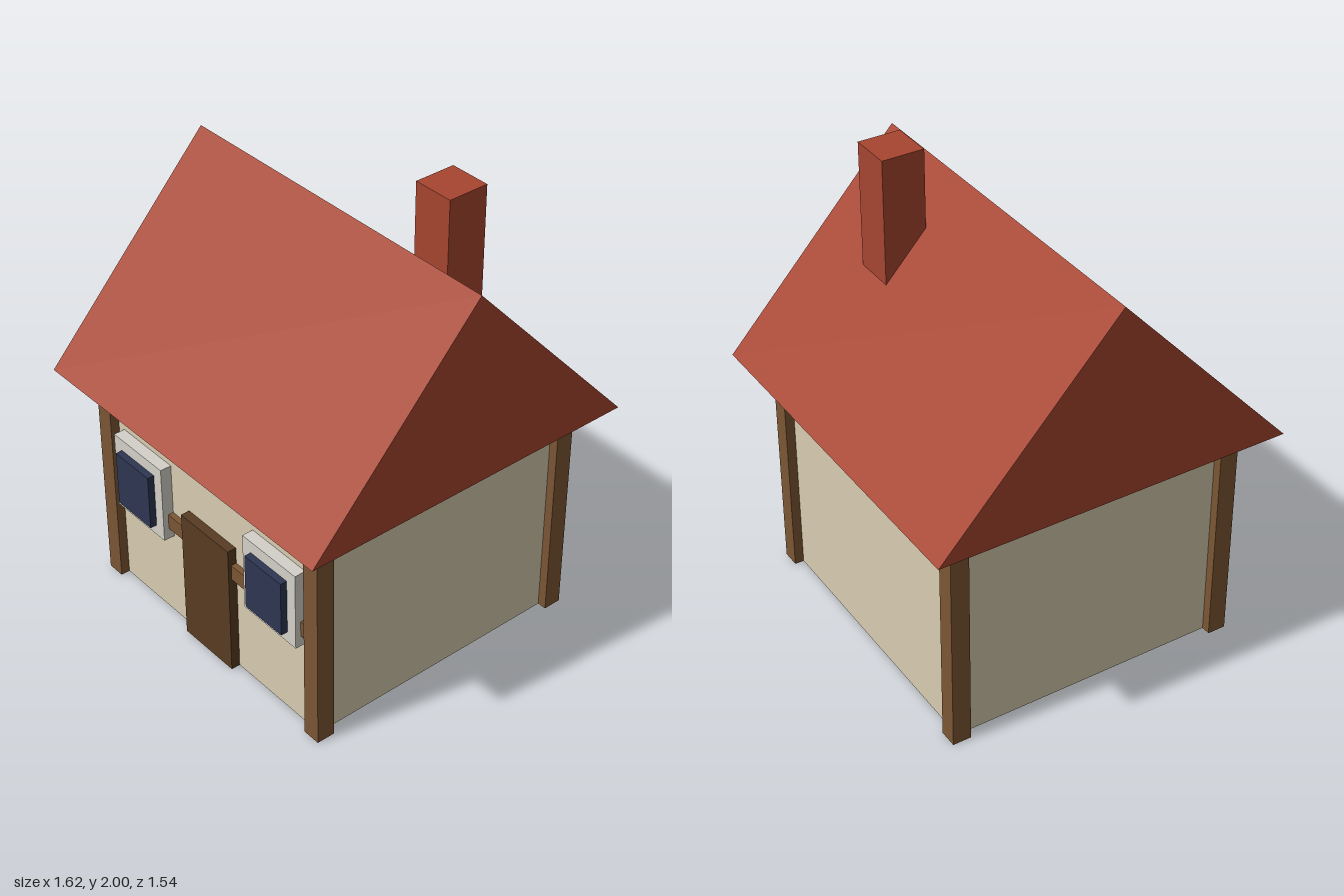
import * as THREE from 'three';

const paint = (name, color) => {
  const m = new THREE.MeshStandardMaterial({ color });
  m.name = name;
  return m;
};

export function createModel() {
  const plaster = paint('plaster', 0xd8ccb1);
  const timber = paint('timber', 0x7b5634);
  const doorWood = paint('door wood', 0x583c22);
  const redTile = paint('red tile', 0xa64530);
  const frameGrey = paint('frame grey', 0xd3d1c9);
  const glass = paint('dark glass', 0x2e3652);

  const house = new THREE.Group();
  house.name = 'house';

  // Box given by its min and max corners
  const box = (name, material, [x0, y0, z0], [x1, y1, z1], parent = house) => {
    const mesh = new THREE.Mesh(new THREE.BoxGeometry(x1 - x0, y1 - y0, z1 - z0), material);
    mesh.position.set((x0 + x1) / 2, (y0 + y1) / 2, (z0 + z1) / 2);
    mesh.name = name;
    parent.add(mesh);
  };

  box('walls', plaster, [-0.65, 0, -0.61], [0.65, 1, 0.61]);

  // Posts centred on the wall corners
  for (const x of [-0.65, 0.65]) {
    for (const z of [-0.61, 0.61]) {
      box('cornerPost', timber, [x - 0.04, 0, z - 0.04], [x + 0.04, 1, z + 0.04]);
    }
  }

  // Front details
  box('frontBeam', timber, [-0.65, 0.46, 0.59], [0.65, 0.53, 0.635]);
  box('door', doorWood, [-0.15, 0, 0.59], [0.15, 0.605, 0.65]);
  for (const x of [-0.417, 0.417]) {
    const win = new THREE.Group();
    win.name = 'window';
    box('windowFrame', frameGrey, [x - 0.157, 0.41, 0.6], [x + 0.157, 0.763, 0.66], win);
    box('windowPane', glass, [x - 0.108, 0.46, 0.64], [x + 0.108, 0.71, 0.69], win);
    house.add(win);
  }

  // Gable roof: triangular section swept along x
  const section = new THREE.Shape([
    new THREE.Vector2(-0.77, 1),
    new THREE.Vector2(0.77, 1),
    new THREE.Vector2(0, 1.833),
  ]);
  const roofGeometry = new THREE.ExtrudeGeometry(section, { depth: 1.62, bevelEnabled: false });
  roofGeometry.translate(0, 0, -0.81).rotateY(Math.PI / 2);
  const roof = new THREE.Mesh(roofGeometry, redTile);
  roof.name = 'roof';
  house.add(roof);

  box('chimney', redTile, [0.282, 1.35, -0.341], [0.464, 2, -0.159]);

  return house;
}
